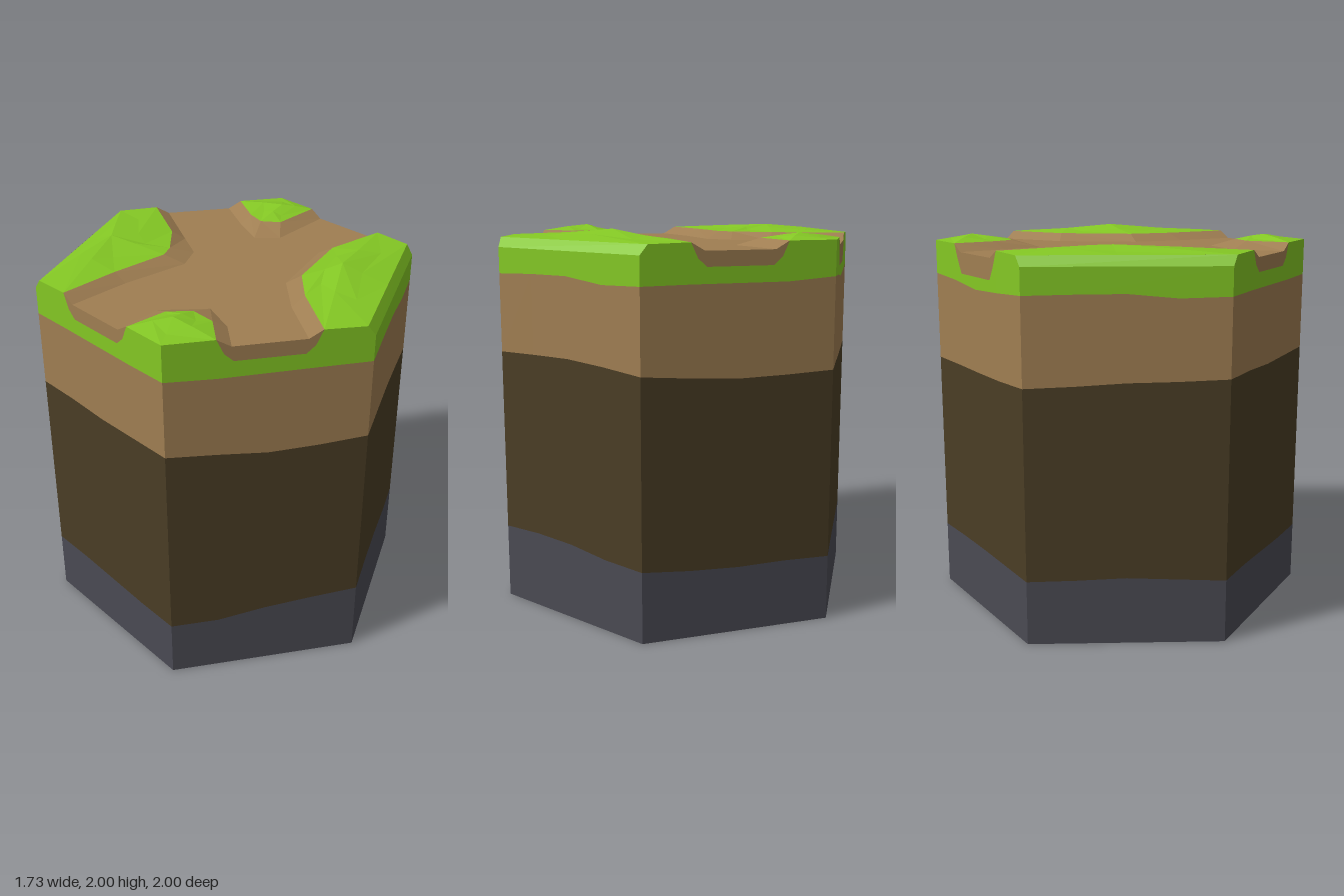
import * as THREE from 'three';

const mat = (name, color) => new THREE.MeshStandardMaterial({ name, color, side: THREE.DoubleSide });
const R = 0.865, FLOOR = 1.915, TOP = 1.955, LIP = 1.95, BEVEL = 1.9;

// Hexagon corners, left to right as seen from outside, starting at the front left
const corners = [[-R, 0.5], [0, 1], [R, 0.5], [R, -0.5], [0, -1], [-R, -0.5]];

// Heights of the layer borders along each wall, at five even steps
const walls = [
  { kind: 'smallToBig', notch: 1.84, grass: [1.765, 1.757, 1.76, 1.763, 1.765], soil: [1.36, 1.345, 1.325, 1.335, 1.355], rock: [0.31, 0.31, 0.35, 0.375, 0.395] },
  { kind: 'bevel', grass: [1.765, 1.775, 1.778, 1.75, 1.757], soil: [1.355, 1.363, 1.368, 1.355, 1.335], rock: [0.395, 0.405, 0.4, 0.375, 0.37] },
  { kind: 'bigToSmall', notch: 1.84, grass: [1.757, 1.76, 1.76, 1.76, 1.778], soil: [1.335, 1.315, 1.3, 1.305, 1.315], rock: [0.37, 0.35, 0.34, 0.345, 0.34] },
  { kind: 'smallToBig', notch: 1.805, grass: [1.778, 1.765, 1.74, 1.75, 1.765], soil: [1.315, 1.315, 1.312, 1.312, 1.32], rock: [0.34, 0.345, 0.345, 0.34, 0.335] },
  { kind: 'bevel', grass: [1.765, 1.77, 1.772, 1.75, 1.757], soil: [1.32, 1.33, 1.345, 1.35, 1.36], rock: [0.335, 0.34, 0.35, 0.34, 0.33] },
  { kind: 'bigToSmall', notch: 1.84, grass: [1.757, 1.76, 1.76, 1.76, 1.765], soil: [1.36, 1.36, 1.35, 1.355, 1.36], rock: [0.33, 0.33, 0.32, 0.31, 0.31] },
];

// Grass patches: bank foot, grass edge, remaining outer rim [x, y, z], hill top
const patches = [
  { name: 'frontMeadow',
    foot: [[R, 0.18], [0.49, 0.165], [0.08, 0.33], [-0.1, 0.55], [-0.277, 0.84]],
    edge: [[R, 0.25], [0.52, 0.235], [0.14, 0.38], [-0.02, 0.56], [-0.216, 0.875]],
    rim: [[-0.035, LIP, 0.98], [0.38, LIP, 0.74], [R, LIP, 0.46]], peak: [0.33, 2, 0.48] },
  { name: 'frontKnoll',
    foot: [[-0.588, 0.66], [-0.47, 0.5], [-0.4, 0.3], [-0.6, 0.14], [-R, 0.18]],
    edge: [[-0.649, 0.625], [-0.535, 0.47], [-0.53, 0.33], [-0.63, 0.245], [-R, 0.25]],
    rim: [[-R, TOP, 0.5]], peak: [-0.68, 1.985, 0.36] },
  { name: 'backMeadow',
    foot: [[-R, -0.18], [-0.52, -0.21], [-0.14, -0.2], [0, -0.29], [0.09, -0.47], [0.277, -0.84]],
    edge: [[-R, -0.25], [-0.53, -0.285], [-0.2, -0.295], [-0.12, -0.345], [0.04, -0.52], [0.216, -0.875]],
    rim: [[0.035, LIP, -0.98], [-0.38, LIP, -0.74], [-R, LIP, -0.46]], peak: [-0.29, 1.988, -0.63] },
  { name: 'backKnoll',
    foot: [[0.588, -0.66], [0.47, -0.43], [0.38, -0.22], [0.485, -0.125], [R, -0.18]],
    edge: [[0.649, -0.625], [0.54, -0.42], [0.51, -0.305], [0.58, -0.22], [R, -0.25]],
    rim: [[R, TOP, -0.5]], peak: [0.73, 1.985, -0.36] },
];

const at = (y) => ([x, z]) => [x, y, z];

// Flat-shaded faces from a list of [x, y, z] corners taken in threes
function facets(points) {
  const g = new THREE.BufferGeometry();
  g.setAttribute('position', new THREE.Float32BufferAttribute(points.flat(), 3));
  g.computeVertexNormals();
  return g;
}

const quad = (a, b, c, d) => [a, b, c, a, c, d];

// Upward-facing strip between two rows of points
function strip(inner, outer, closed = false) {
  const out = [], n = inner.length;
  for (let i = 0; i < (closed ? n : n - 1); i++) {
    const j = (i + 1) % n;
    out.push(...quad(inner[i], outer[i], outer[j], inner[j]).reverse());
  }
  return out;
}

function polygon(points) {
  return new THREE.ShapeGeometry(new THREE.Shape(points.map(([x, y]) => new THREE.Vector2(x, y))));
}

export function createModel() {
  const model = new THREE.Group();
  model.name = 'hexTile';
  const grass = mat('grass', 0x84c824);
  const dirt = mat('dirt', 0x9f7e52);
  const earth = mat('darkEarth', 0x4a3d25);
  const stone = mat('stone', 0x4a4a53);
  const add = (parent, name, geometry, material) => {
    const mesh = new THREE.Mesh(geometry, material);
    mesh.name = name;
    parent.add(mesh);
  };

  // Layered side walls
  walls.forEach((w, i) => {
    const [ax, az] = corners[i], [bx, bz] = corners[(i + 1) % 6];
    const length = Math.hypot(bx - ax, bz - az);
    const wall = new THREE.Group();
    wall.name = 'wall' + (i + 1);
    wall.position.set(ax, 0, az);
    wall.rotation.y = Math.atan2(az - bz, bx - ax);
    wall.scale.x = length;
    model.add(wall);

    const line = (heights) => heights.map((y, k) => [k / 4, y]);
    const layer = (low, high) => polygon([...low, ...[...high].reverse()]);
    const flip = (pts) => w.kind === 'bigToSmall' ? pts.map(([u, y]) => [1 - u, y]).reverse() : pts;
    add(wall, 'stoneLayer', layer([[0, 0], [1, 0]], line(w.rock)), stone);
    add(wall, 'darkEarthLayer', layer(line(w.rock), line(w.soil)), earth);
    add(wall, 'dirtLayer', layer(line(w.soil), line(w.grass)), dirt);

    // Grass layer, notched where a path leaves the tile
    if (w.kind === 'bevel') {
      add(wall, 'grassLayer', layer(line(w.grass), [[0, BEVEL], [1, BEVEL]]), grass);
    } else {
      const cut = [[0.25, TOP], [0.285, 1.88], [0.33, w.notch], [0.67, w.notch], [0.715, 1.88], [0.75, TOP]];
      const top = flip([[0, TOP], ...cut, [0.96, LIP], [1, BEVEL]]);
      add(wall, 'grassLayer', layer(line(w.grass), top), grass);
      add(wall, 'pathEnd', layer(cut, [[0.32, FLOOR], [0.68, FLOOR]]), dirt);
    }
  });

  // Crossing paths
  const outline = patches.flatMap((p) => p.foot);
  const path = polygon(outline.map(([x, z]) => [x, -z]));
  path.rotateX(-Math.PI / 2).translate(0, FLOOR, 0);
  add(model, 'path', path, dirt);

  // Banks and faceted grass mounds
  for (const p of patches) {
    const patch = new THREE.Group();
    patch.name = p.name;
    model.add(patch);
    const edge = p.edge.map(at(TOP));
    add(patch, 'bank', facets(strip(edge, p.foot.map(at(FLOOR)))), dirt);

    const loop = [...edge, ...p.rim];
    const ring = loop.map(([x, , z], i) => {
      const t = i % 2 ? 0.42 : 0.56;
      return [x + (p.peak[0] - x) * t, i % 2 ? 1.962 : 1.975, z + (p.peak[2] - z) * t];
    });
    const cap = ring.flatMap((r, i) => [p.peak, ring[(i + 1) % ring.length], r]);
    add(patch, 'mound', facets([...strip(ring, loop, true), ...cap]), grass);
  }

  // Bevelled rims on the two pathless sides
  for (const s of [1, -1]) {
    const rim = quad([0, BEVEL, s], [s * R, BEVEL, s * 0.5], [s * R, LIP, s * 0.46], [-s * 0.035, LIP, s * 0.98]);
    add(model, s > 0 ? 'frontRim' : 'backRim', facets(rim), grass);
  }
  return model;
}
